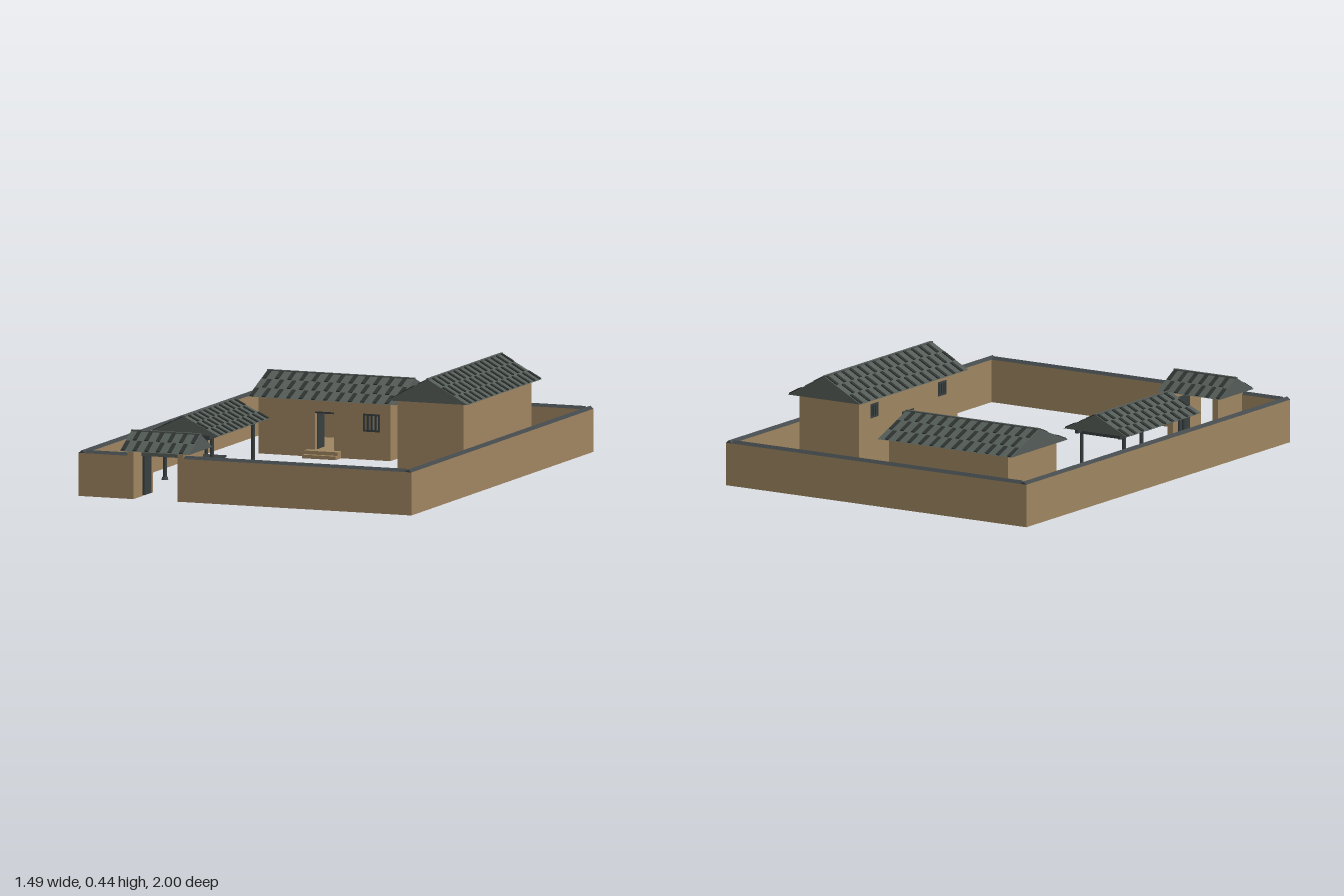
import * as THREE from 'three';
import { mergeGeometries } from 'three/addons/utils/BufferGeometryUtils.js';

const mat = (name, color) => {
  const m = new THREE.MeshStandardMaterial({ color });
  m.name = name;
  return m;
};

export function createModel() {
  const model = new THREE.Group();
  model.name = 'walledCompound';
  const earth = mat('tan earth', 0x9e8560);
  const slate = mat('roof slate', 0x545c58);
  const tile = mat('dark tile', 0x2e3331);
  const coping = mat('wall coping grey', 0x42484a);
  const timber = mat('dark timber', 0x383e3e);

  const add = (parent, name, geo, material) => {
    const m = new THREE.Mesh(geo, material);
    m.name = name;
    parent.add(m);
    return m;
  };
  // box given by its minimum and maximum corners
  const box = (parent, name, material, x0, x1, y0, y1, z0, z1) => {
    const g = new THREE.BoxGeometry(x1 - x0, y1 - y0, z1 - z0);
    g.translate((x0 + x1) / 2, (y0 + y1) / 2, (z0 + z1) / 2);
    return add(parent, name, g, material);
  };
  const group = (name, parent = model) => {
    const g = new THREE.Group();
    g.name = name;
    parent.add(g);
    return g;
  };
  // triangular prism with its ridge along z
  const prism = (span, height, length) => {
    const s = new THREE.Shape();
    s.moveTo(-span / 2, 0);
    s.lineTo(span / 2, 0);
    s.lineTo(0, height);
    s.closePath();
    return new THREE.ExtrudeGeometry(s, { depth: length, bevelEnabled: false }).translate(0, 0, -length / 2);
  };

  // gabled roof with staggered raised tiles
  function roof(parent, x0, x1, z0, z1, eave, ridge, alongX, rows) {
    const g = group('tiledRoof', parent);
    g.position.set((x0 + x1) / 2, eave, (z0 + z1) / 2);
    if (alongX) g.rotation.y = Math.PI / 2;
    const span = alongX ? z1 - z0 : x1 - x0;
    const length = alongX ? x1 - x0 : z1 - z0;
    const h = ridge - eave;
    add(g, 'roofBody', prism(span, h, length), slate);
    const angle = Math.atan2(h, span / 2);
    const rowLength = Math.hypot(h, span / 2) / rows;
    const count = Math.round(length / 0.056);
    const pitch = length / count;
    const tiles = [];
    for (const side of [-1, 1]) {
      for (let r = 0; r < rows; r++) {
        const t = (r + 0.5) / rows;
        for (let i = 0; i < count; i++) {
          const z = -length / 2 + (i + (r % 2 ? 0.75 : 0.25)) * pitch;
          const b = new THREE.BoxGeometry(rowLength * 0.88, 0.007, 0.016);
          b.rotateZ(-side * angle);
          b.translate(side * (span / 2) * (1 - t), h * t + 0.001, z);
          tiles.push(b);
        }
      }
    }
    add(g, 'raisedTiles', mergeGeometries(tiles), tile);
    box(g, 'ridgeCap', slate, -0.006, 0.006, h - 0.006, h + 0.003, -length / 2, length / 2);
  }

  // perimeter wall, open at the gate, with peaked coping
  const wall = group('perimeterWall');
  const T = 0.03, W = 0.745, H = 0.18;
  const runs = [
    [-W, -W + T, -1, 0.985], [W - T, W, -1, 0.985],
    [-W + T, W - T, -1, -1 + T], [-W + T, -0.525, 0.955, 0.985], [-0.275, W - T, 0.955, 0.985],
  ];
  for (const [x0, x1, z0, z1] of runs) {
    box(wall, 'wallRun', earth, x0, x1, 0, H, z0, z1);
    const alongX = x1 - x0 > z1 - z0;
    const cap = add(wall, 'wallCoping', prism(T, 0.012, Math.max(x1 - x0, z1 - z0)), coping);
    cap.position.set((x0 + x1) / 2, H, (z0 + z1) / 2);
    if (alongX) cap.rotation.y = Math.PI / 2;
  }

  // gatehouse with open leaves
  const gate = group('gatehouse');
  for (const s of [-1, 1]) {
    const c = -0.4 + s * 0.112;
    box(gate, 'gateSideWall', earth, c - 0.0135, c + 0.0135, 0, 0.2, 0.775, 0.987);
    const d = -0.4 + s * 0.093;
    box(gate, 'gateLeaf', timber, d - 0.004, d + 0.004, 0.004, 0.17, 0.81, 0.89);
  }
  box(gate, 'gateLintel', slate, -0.4985, -0.3015, 0.17, 0.2, 0.87, 0.9);
  roof(gate, -0.555, -0.245, 0.742, 0.998, 0.2, 0.27, true, 2);

  // hollow house; its front is built facing +z, then turned
  function house(name, cx, cz, width, depth, height, turn, door, windows) {
    const g = group(name);
    g.position.set(cx, 0, cz);
    g.rotation.y = turn;
    const w = width / 2, d = depth / 2, t = 0.02;
    const rect = (P, x0, x1, y0, y1) => new P([
      new THREE.Vector2(x0, y0), new THREE.Vector2(x1, y0),
      new THREE.Vector2(x1, y1), new THREE.Vector2(x0, y1),
    ]);
    const face = rect(THREE.Shape, -w, w, 0, height);
    face.holes.push(rect(THREE.Path, -door.w / 2, door.w / 2, 0.03, door.top));
    for (const [x, y, ww, wh] of windows) {
      face.holes.push(rect(THREE.Path, x - ww / 2, x + ww / 2, y - wh / 2, y + wh / 2));
    }
    const front = new THREE.ExtrudeGeometry(face, { depth: t, bevelEnabled: false });
    add(g, 'frontWall', front.translate(0, 0, d - t), earth);
    box(g, 'backWall', earth, -w, w, 0, height, -d, -d + t);
    for (const s of [-1, 1]) {
      const c = s * (w - t / 2);
      box(g, 'sideWall', earth, c - t / 2, c + t / 2, 0, height, -d + t, d - t);
    }
    box(g, 'floor', earth, -w + t, w - t, 0, 0.03, -d + t, d - t);
    // door frame and leaf swung inward
    const a = door.w / 2;
    box(g, 'doorLeaf', timber, -a - 0.004, -a + 0.004, 0.03, door.top, d - t - door.w * 0.9, d - t);
    box(g, 'doorLeaf', timber, a - 0.004, a + 0.004, 0.03, door.top, d - t - door.w * 0.9, d - t);
    box(g, 'doorHead', timber, -a, a, door.top - 0.008, door.top, d - t, d - 0.002);
    // barred windows
    for (const [x, y, ww, wh] of windows) {
      for (const s of [-1, 1]) {
        const yy = y + s * (wh / 2 - 0.004);
        box(g, 'windowRail', timber, x - ww / 2, x + ww / 2, yy - 0.004, yy + 0.004, d - 0.012, d + 0.002);
      }
      for (let i = 0; i < 5; i++) {
        const xx = x + (i / 4 - 0.5) * (ww - 0.007);
        box(g, 'windowBar', timber, xx - 0.0035, xx + 0.0035, y - wh / 2, y + wh / 2, d - 0.011, d + 0.001);
      }
    }
    // two entrance steps
    box(g, 'lowerStep', earth, -door.step / 2, door.step / 2, 0, 0.015, d, d + door.run);
    box(g, 'upperStep', earth, -door.step / 2, door.step / 2, 0.015, 0.03, d, d + door.run * 0.67);
  }

  house('rearHouse', -0.225, -0.613, 0.59, 0.366, 0.24, 0,
    { w: 0.085, top: 0.19, step: 0.15, run: 0.06 }, [[0.21, 0.155, 0.075, 0.075]]);
  roof(model.getObjectByName('rearHouse'), -0.33, 0.33, -0.215, 0.215, 0.24, 0.323, true, 3);

  house('tallHouse', 0.4625, -0.28, 0.74, 0.295, 0.34, -Math.PI / 2,
    { w: 0.09, top: 0.24, step: 0.165, run: 0.09 },
    [[-0.255, 0.285, 0.06, 0.06], [0.255, 0.285, 0.06, 0.06]]);
  const tallRoof = group('tallHouseRoof');
  roof(tallRoof, 0.282, 0.642, -0.69, 0.122, 0.34, 0.438, false, 3);

  // open shed on four posts
  const shed = group('openShed');
  const postX = [-0.59, -0.38], postZ = [-0.03, 0.42];
  for (const x of postX) {
    for (const z of postZ) {
      add(shed, 'post', new THREE.CylinderGeometry(0.008, 0.008, 0.2, 10).translate(x, 0.1, z), timber);
      add(shed, 'postBase', new THREE.CylinderGeometry(0.012, 0.014, 0.012, 10).translate(x, 0.006, z), coping);
    }
    box(shed, 'longBeam', timber, x - 0.007, x + 0.007, 0.185, 0.205, -0.07, 0.46);
  }
  for (const z of postZ) box(shed, 'crossBeam', timber, -0.59, -0.38, 0.178, 0.198, z - 0.007, z + 0.007);
  roof(shed, -0.64, -0.327, -0.085, 0.475, 0.203, 0.278, false, 3);

  // table and two stools under the shed
  const table = group('table', shed);
  box(table, 'tableTop', timber, -0.57, -0.45, 0.058, 0.066, 0.09, 0.24);
  for (const x of [-0.56, -0.46]) {
    for (const z of [0.1, 0.23]) box(table, 'tableLeg', timber, x - 0.005, x + 0.005, 0, 0.058, z - 0.005, z + 0.005);
  }
  for (const z of [0.01, 0.32]) {
    const stool = group('stool', shed);
    box(stool, 'stoolSeat', coping, -0.56, -0.5, 0.014, 0.044, z - 0.027, z + 0.027);
    box(stool, 'stoolFoot', timber, -0.542, -0.518, 0, 0.014, z - 0.012, z + 0.012);
  }
  return model;
}
